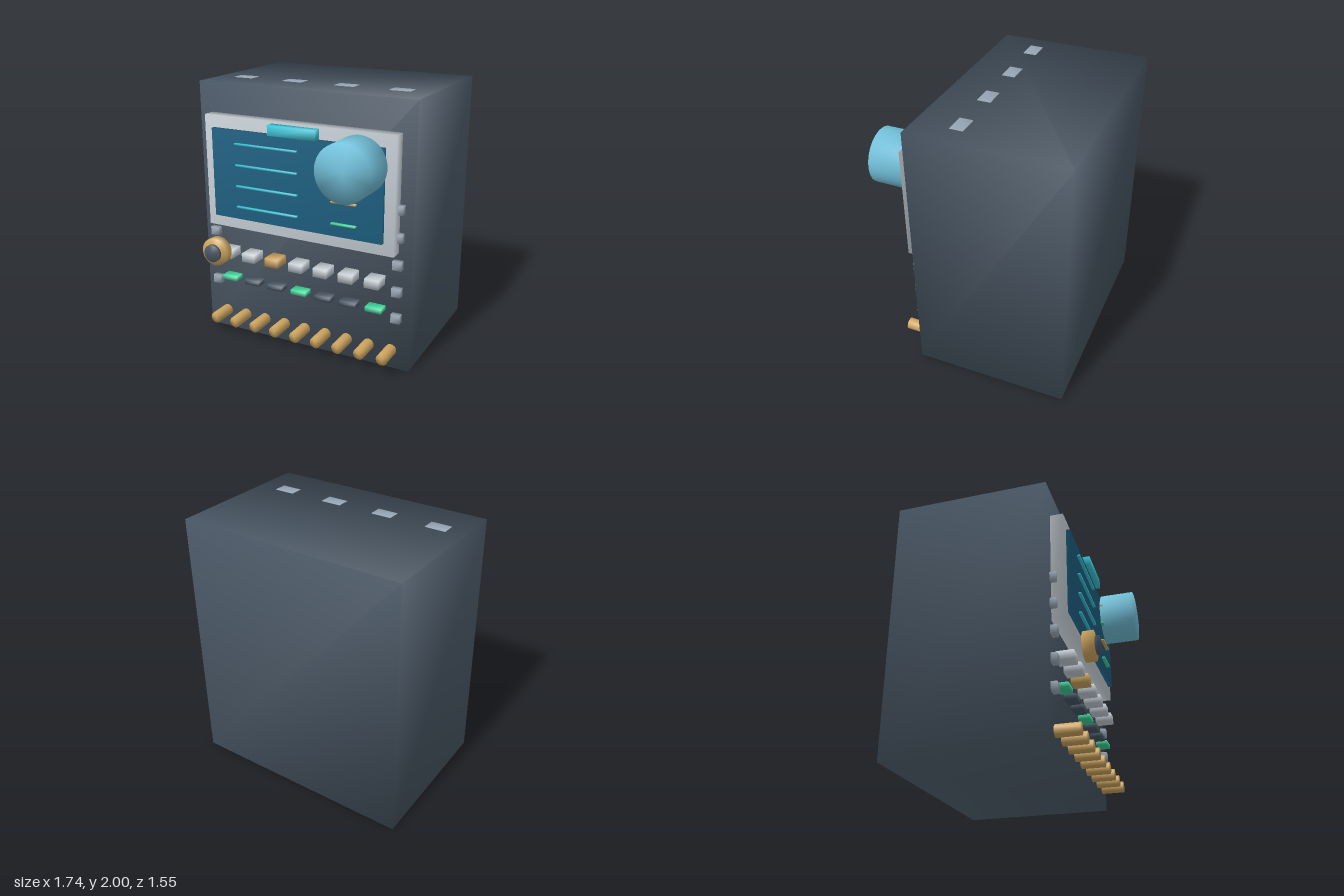
import * as THREE from 'three';
import { mergeVertices } from 'three/addons/utils/BufferGeometryUtils.js';

const mat = (name, color) => {
  const m = new THREE.MeshStandardMaterial({ color });
  m.name = name;
  return m;
};

// Shares corner vertices so that normals blend softly across edges
function soften(geo) {
  geo.deleteAttribute('normal');
  geo.deleteAttribute('uv');
  const g = mergeVertices(geo, 1e-4);
  g.computeVertexNormals();
  return g;
}

export function createModel() {
  const model = new THREE.Group();
  model.name = 'controlConsole';

  const slate = mat('slate', 0x4a5866);
  const silver = mat('silver', 0xc6cfd6);
  const steel = mat('steel', 0x97a5b3);
  const screenBlue = mat('screenBlue', 0x1d5f80);
  const cyan = mat('cyan', 0x38c4d6);
  const paleBlue = mat('paleBlue', 0x74c2dc);
  const gold = mat('gold', 0xcfa660);
  const green = mat('green', 0x40d39a);

  function add(name, geo, material, x, y, z) {
    const mesh = new THREE.Mesh(geo, material);
    mesh.name = name;
    mesh.position.set(x, y, z);
    model.add(mesh);
    return mesh;
  }
  // Box centred on x, y and reaching from z0 to z1
  const box = (name, material, x, y, w, h, z0, z1) =>
    add(name, soften(new THREE.BoxGeometry(w, h, z1 - z0)), material, x, y, (z0 + z1) / 2);
  // Disc or rod along z, from z0 to z1
  const rod = (name, material, x, y, r, z0, z1, sides) =>
    add(name, soften(new THREE.CylinderGeometry(r, r, z1 - z0, sides).rotateX(Math.PI / 2)),
      material, x, y, (z0 + z1) / 2);

  const front = 0.388;

  // Cabinet and the vents let into its top
  box('cabinet', slate, 0, 0.998, 1.74, 1.996, -0.772, front);
  for (let i = 0; i < 4; i++) {
    box('topVent', steel, -0.655 + i * 0.428, 1.99, 0.155, 0.02, 0.03, 0.128);
  }

  // Display
  box('bezel', silver, 0, 1.343, 1.53, 0.855, front, 0.485);
  box('screen', screenBlue, 0, 1.343, 1.375, 0.675, 0.47, 0.515);
  box('displayTab', cyan, 0, 1.718, 0.38, 0.075, 0.485, 0.548);
  for (let i = 0; i < 4; i++) {
    const y = 1.584 - i * 0.16;
    box('longReadout', cyan, -0.225, y, 0.51, 0.014, 0.51, 0.535);
    box('shortReadout', i % 2 ? green : gold, 0.4, y, 0.19, 0.014, 0.51, 0.54);
  }
  rod('displayDial', paleBlue, 0.51, 1.55, 0.205, 0.515, 0.775, 48);

  // Selector knob
  rod('selectorKnob', gold, -0.62, 0.756, 0.108, 0.58, 0.65, 32);
  rod('selectorCap', slate, -0.62, 0.756, 0.067, 0.66, 0.686, 32);

  // Two rows of keys
  for (let i = 0; i < 7; i++) {
    const x = -0.617 + i * 0.205;
    box('key', i === 2 ? gold : silver, x, 0.693, 0.11, 0.068, front, 0.515);
    box('indicator', i % 3 ? slate : green, x, 0.474, 0.126, 0.036, front, 0.475);
  }

  // Row of jacks along the bottom
  for (let i = 0; i < 9; i++) {
    rod('jack', gold, -0.706 + i * 0.179, 0.147, 0.044, front, 0.56, 16);
  }

  // Studs down both edges of the front
  for (const side of [-1, 1]) {
    for (let i = 0; i < 5; i++) {
      box('edgeStud', steel, side * 0.768, 0.42 + i * 0.205, 0.07, 0.066, front, 0.432);
    }
  }

  return model;
}
